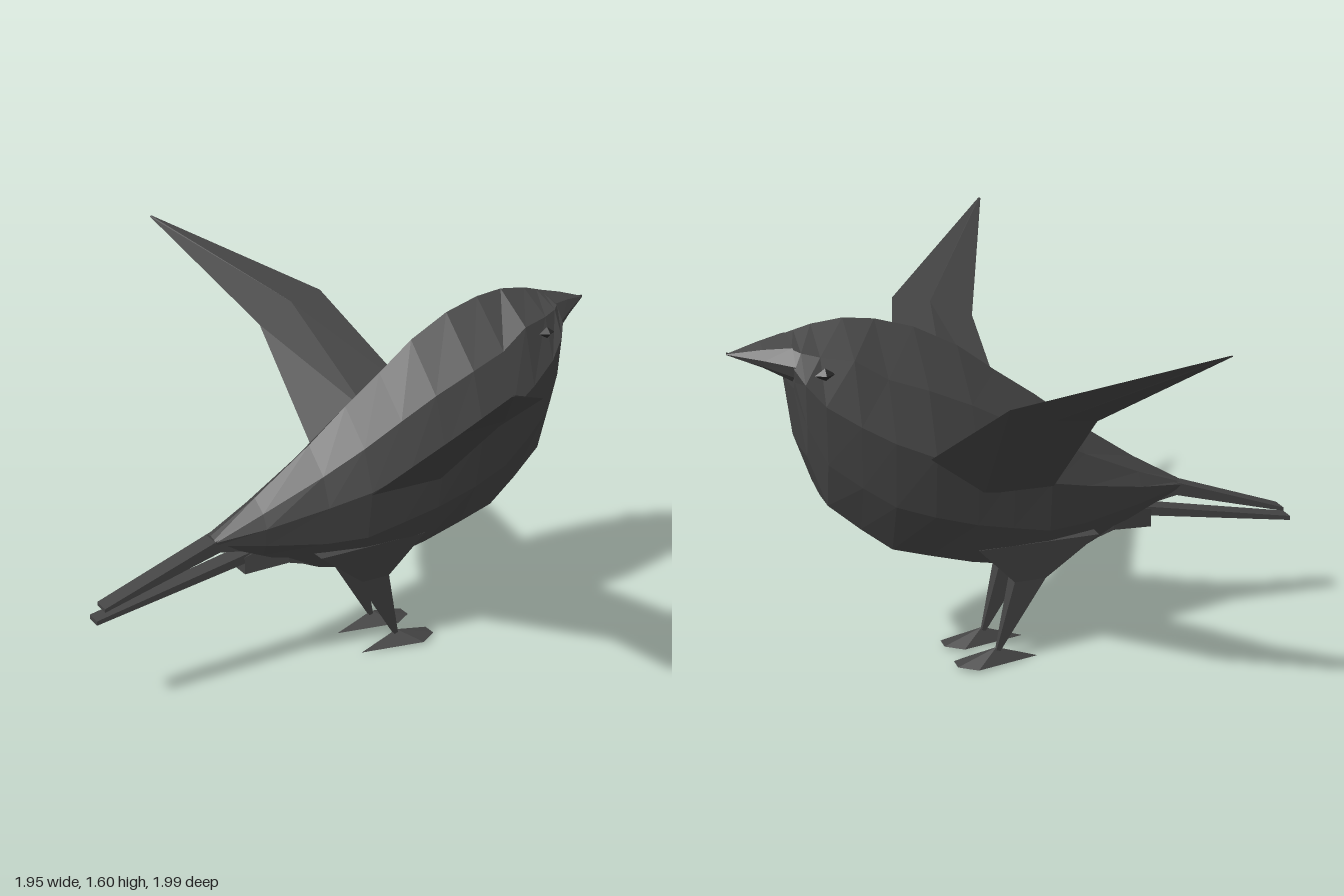
import * as THREE from 'three';

const feather = new THREE.MeshStandardMaterial({ color: 0x444444, flatShading: true });
const dark = new THREE.MeshStandardMaterial({ color: 0x2a2a2a, flatShading: true });

// Skin a list of equal-length rings of [x, y, z] points, closing both ends
function loft(rings) {
  const n = rings[0].length, index = [];
  for (let i = 0; i < rings.length - 1; i++) {
    for (let j = 0; j < n; j++) {
      const a = i * n + j, b = i * n + (j + 1) % n;
      index.push(a, b, a + n, b, b + n, a + n);
    }
  }
  const last = (rings.length - 1) * n;
  for (let j = 1; j < n - 1; j++) {
    index.push(0, j + 1, j, last, last + j, last + j + 1);
  }
  const geo = new THREE.BufferGeometry();
  geo.setAttribute('position', new THREE.Float32BufferAttribute(rings.flat(2), 3));
  geo.setIndex(index);
  const flat = geo.toNonIndexed();
  flat.computeVertexNormals();
  return flat;
}

const mirror = rings => rings.map(r => r.map(([x, y, z]) => [x, y, -z]).reverse());

// Rectangular cross-section across the bird at x
const slab = (x, top, bottom, hw) => [[x, top, -hw], [x, top, hw], [x, bottom, hw], [x, bottom, -hw]];

// Ten-sided body section: ridge, shoulder, flank, lower flank and flat belly
function bodyRing([x, top, mid, bottom, hw, belly]) {
  const up = x > 0.85 ? 0.66 : 0.55;
  const half = [
    [x, mid + up * (top - mid), hw * 0.7],
    [x, mid, hw],
    [x, mid - 0.55 * (mid - bottom), belly + 0.7 * (hw - belly)],
    [x, bottom + 0.01, belly],
  ];
  const other = half.map(([px, py, pz]) => [px, py, -pz]).reverse();
  return [[x, top, 0], ...half, [x, bottom, 0], ...other];
}

export function createModel() {
  // Built with the beak along +x, then turned to its heading
  const bird = new THREE.Group();
  bird.name = 'bird';
  const add = (name, geo, mat = feather) => {
    const mesh = new THREE.Mesh(geo, mat);
    mesh.name = name;
    bird.add(mesh);
    return mesh;
  };
  const addPair = (name, rings, mat) => {
    add('right' + name, loft(rings), mat);
    add('left' + name, loft(mirror(rings)), mat);
  };

  // Body and head: x, ridge, flank and belly heights, half width, belly half width
  add('body', loft([
    [-0.45, 0.66, 0.645, 0.62, 0.043, 0.03],
    [-0.25, 0.78, 0.68, 0.54, 0.10, 0.06],
    [0.00, 0.955, 0.74, 0.44, 0.165, 0.09],
    [0.17, 1.09, 0.79, 0.41, 0.215, 0.12],
    [0.33, 1.205, 0.86, 0.43, 0.245, 0.13],
    [0.48, 1.32, 0.91, 0.465, 0.272, 0.14],
    [0.65, 1.41, 0.98, 0.52, 0.295, 0.15],
    [0.80, 1.455, 1.05, 0.57, 0.285, 0.155],
    [0.92, 1.47, 1.12, 0.67, 0.26, 0.155],
    [1.04, 1.457, 1.20, 0.78, 0.222, 0.15],
    [1.105, 1.44, 1.28, 0.98, 0.19, 0.14],
    [1.135, 1.432, 1.33, 1.24, 0.155, 0.11],
  ].map(bodyRing)));

  // Beak
  add('beak', loft([
    [1.13, 1.433, 1.34, 1.26, 0.155, 0.10],
    [1.23, 1.41, 1.355, 1.31, 0.085, 0.05],
    [1.355, 1.372, 1.37, 1.368, 0.003, 0.002],
  ].map(bodyRing)));

  // Eyes
  for (const s of [1, -1]) {
    const eye = add(s > 0 ? 'rightEye' : 'leftEye', new THREE.OctahedronGeometry(0.032, 0), dark);
    eye.position.set(1.03, 1.31, s * 0.183);
    eye.scale.set(1.2, 0.8, 0.8);
  }

  // Wings: leading edge, upper middle, trailing edge, lower middle
  addPair('Wing', [
    [[0.64, 0.93, 0.18], [0.44, 0.90, 0.14], [0.17, 0.72, 0.13], [0.45, 0.77, 0.16]],
    [[0.675, 0.98, 0.30], [0.44, 0.93, 0.26], [0.165, 0.78, 0.215], [0.46, 0.81, 0.27]],
    [[0.53, 1.315, 0.812], [0.37, 1.29, 0.79], [0.194, 1.22, 0.76], [0.37, 1.25, 0.795]],
    [[-0.025, 1.603, 1.362], [-0.03, 1.604, 1.362], [-0.035, 1.60, 1.36], [-0.03, 1.599, 1.362]],
  ]);

  // Tail: two stacked slats and the tuft beneath them
  add('upperTail', loft([
    slab(-0.93, 0.475, 0.46, 0.037), slab(-0.43, 0.655, 0.60, 0.043), slab(-0.2, 0.70, 0.56, 0.05),
  ]));
  add('lowerTail', loft([
    slab(-0.965, 0.43, 0.412, 0.034), slab(-0.25, 0.575, 0.535, 0.04),
  ]));
  add('tailTuft', loft([
    slab(-0.32, 0.55, 0.475, 0.04), slab(-0.14, 0.62, 0.50, 0.08), slab(0, 0.62, 0.46, 0.09),
  ]));

  // Legs, narrowing from thigh to ankle
  const legRing = (y, x0, x1, z, d) => [[x0, y, z + d], [x1, y, z + d], [x1, y, z - d], [x0, y, z - d]];
  addPair('Leg', [
    legRing(0.04, 0.367, 0.381, 0.1, 0.007),
    legRing(0.36, 0.175, 0.305, 0.1, 0.04),
    legRing(0.53, -0.04, 0.46, 0.09, 0.08),
  ]);

  // Feet: flat pads rising to the ankle
  const ankle = [0.374, 0.068, 0.1];
  addPair('Foot', [
    [[0.2, 0.002, 0.1], [0.47, 0.012, 0.17], [0.545, 0.02, 0.13], [0.545, 0.02, 0.07], [0.47, 0.012, 0.03]],
    [ankle, ankle, ankle, ankle, ankle],
  ]);

  bird.rotation.y = 0.753;
  bird.position.set(-0.02, 0, -0.022);
  const model = new THREE.Group();
  model.name = 'birdModel';
  model.add(bird);
  return model;
}
